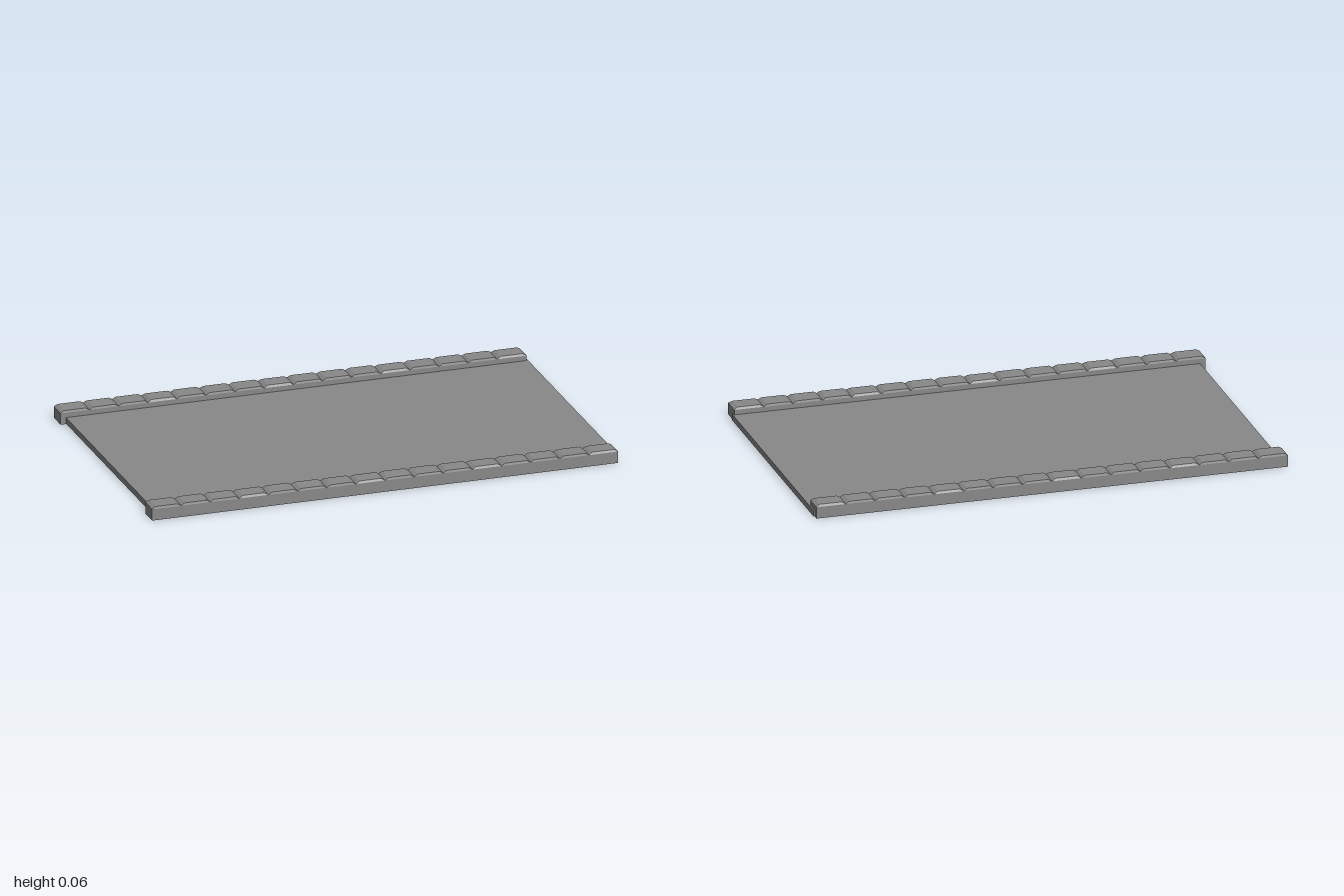
import * as THREE from 'three';

const material = new THREE.MeshStandardMaterial({ color: 0x888888, flatShading: true });

function box(name, x0, x1, y0, y1, z0, z1) {
  const mesh = new THREE.Mesh(new THREE.BoxGeometry(x1 - x0, y1 - y0, z1 - z0), material);
  mesh.position.set((x0 + x1) / 2, (y0 + y1) / 2, (z0 + z1) / 2);
  mesh.name = name;
  return mesh;
}

// Box whose top face is drawn in on all four sides
function bevelledCap(length, height, depth, insetX, insetZ) {
  const geometry = new THREE.BoxGeometry(length, height, depth);
  const p = geometry.attributes.position;
  for (let i = 0; i < p.count; i++) {
    if (p.getY(i) > 0) {
      p.setX(i, p.getX(i) - Math.sign(p.getX(i)) * insetX);
      p.setZ(i, p.getZ(i) - Math.sign(p.getZ(i)) * insetZ);
    }
  }
  geometry.computeVertexNormals();
  return geometry;
}

export function createModel() {
  const model = new THREE.Group();
  model.name = 'roadSection';

  // Flat road surface, running a little past the kerbs at one end
  model.add(box('roadSlab', -0.977, 1, 0.002, 0.028, -0.59, 0.537));

  // Kerbs: a solid base with a row of bevelled stones, in sets of four
  const start = -1, end = 0.994, count = 16;
  const pitch = (end - start) / count;
  const baseTop = 0.049, top = 0.058, depth = 0.085;
  const plain = bevelledCap(pitch, top - baseTop, depth, 0.015, 0.003);
  const framed = bevelledCap(pitch, top - baseTop, depth, 0.015, 0.006);

  for (const side of [1, -1]) {
    const kerb = new THREE.Group();
    kerb.name = side > 0 ? 'frontKerb' : 'backKerb';
    const z = side * 0.5695;
    kerb.add(box('kerbBase', start, end, 0, baseTop, z - depth / 2, z + depth / 2));
    for (let i = 0; i < count; i++) {
      const stone = new THREE.Mesh(i % 4 === 3 ? framed : plain, material);
      stone.name = 'kerbStone';
      stone.position.set(start + (i + 0.5) * pitch, (baseTop + top) / 2, z);
      kerb.add(stone);
    }
    model.add(kerb);
  }
  return model;
}
